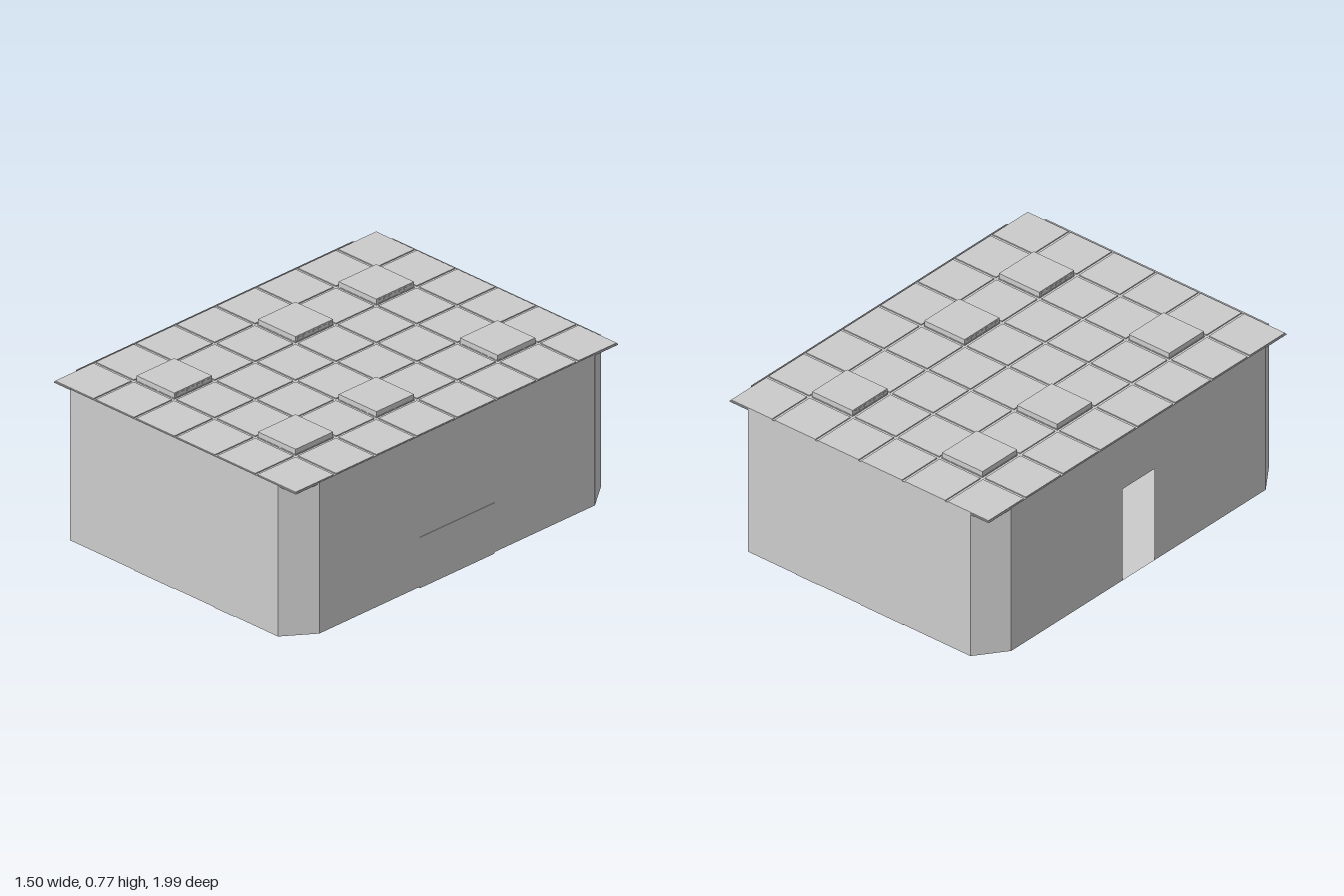
import * as THREE from 'three';

const material = new THREE.MeshStandardMaterial({ color: 0xcccccc, flatShading: true, side: THREE.DoubleSide });

export function createModel() {
  const model = new THREE.Group();
  model.name = 'room';

  const add = (name, geometry, parent = model) => {
    const mesh = new THREE.Mesh(geometry, material);
    mesh.name = name;
    parent.add(mesh);
    return mesh;
  };
  // Box given by its limits on each axis
  const box = (name, x0, x1, y0, y1, z0, z1, parent) => {
    const mesh = add(name, new THREE.BoxGeometry(x1 - x0, y1 - y0, z1 - z0), parent);
    mesh.position.set((x0 + x1) / 2, (y0 + y1) / 2, (z0 + z1) / 2);
    return mesh;
  };

  // Room outline: a rectangle with cut corners, as [x, z]
  const X = 0.748, Z = 0.997, cx = 0.64, cz = 0.85;
  const floorY = 0.006, roofY = 0.75;
  const outline = [
    [cx, Z], [X, cz], [X, -cz], [cx, -Z],
    [-cx, -Z], [-X, -cz], [-X, cz], [-cx, Z],
  ];
  const names = ['cornerWall', 'leftWall', 'cornerWall', 'backWall',
    'cornerWall', 'doorWall', 'cornerWall', 'frontWall'];

  // Thin wall panels, one with a doorway
  outline.forEach(([x0, z0], i) => {
    const [x1, z1] = outline[(i + 1) % outline.length];
    const length = Math.hypot(x1 - x0, z1 - z0);
    const height = roofY - floorY;
    const points = [[0, 0]];
    if (names[i] === 'doorWall') {
      const mid = length / 2, half = 0.108, top = 0.475;
      points.push([mid - half, 0], [mid - half, top], [mid + half, top], [mid + half, 0]);
    }
    points.push([length, 0], [length, height], [0, height]);
    const shape = new THREE.Shape(points.map(p => new THREE.Vector2(...p)));
    const wall = add(names[i], new THREE.ShapeGeometry(shape));
    wall.position.set(x0, floorY, z0);
    wall.rotation.y = Math.atan2(z0 - z1, x1 - x0);
  });

  // Floor with the same cut corners
  const floorShape = new THREE.Shape(outline.map(([x, z]) => new THREE.Vector2(x, z)));
  const floor = add('floor', new THREE.ShapeGeometry(floorShape));
  floor.rotation.x = Math.PI / 2;
  floor.position.y = floorY;

  // Ceiling: a thin grid sheet carrying 6 by 8 tiles
  box('ceilingGrid', -0.745, 0.745, 0.741, 0.745, -0.997, 0.992);
  const tiles = new THREE.Group();
  tiles.name = 'ceilingTiles';
  model.add(tiles);
  const pitchX = 0.249, pitchZ = 0.2493, size = 0.235;
  const tileX = i => (i - 2.5) * pitchX;
  const tileZ = k => (k - 3.5) * pitchZ - 0.002;
  for (let i = 0; i < 6; i++) {
    for (let k = 0; k < 8; k++) {
      const x = tileX(i), z = tileZ(k), h = size / 2;
      box('tile', x - h, x + h, 0.745, roofY, z - h, z + h, tiles);
    }
  }

  // Raised roof boxes with a row of slots on the side facing the middle
  for (const [i, k] of [[1, 1], [1, 3], [1, 6], [4, 1], [4, 4], [4, 6]]) {
    const unit = new THREE.Group();
    unit.name = 'roofBox';
    unit.position.set(tileX(i), roofY, tileZ(k));
    model.add(unit);
    const h = 0.116, side = i < 3 ? 1 : -1;
    box('housing', -h, h, 0, 0.025, -h, h, unit);
    for (let s = -3; s <= 3; s++) {
      const slot = add('slot', new THREE.BoxGeometry(0.004, 0.01, 0.016), unit);
      slot.position.set(side * h, 0.0125, s * 0.032);
    }
  }

  // Bench against the left wall and a low table before it
  box('bench', 0.36, 0.75, 0, 0.25, -0.23, 0.23);
  box('lowTable', 0, 0.355, 0, 0.12, -0.23, 0.23);

  // Matching cabinets along the front and back walls
  for (const s of [-1, 1]) {
    const z0 = Math.min(s * 0.79, s * 0.993), z1 = Math.max(s * 0.79, s * 0.993);
    box('cabinet', -0.25, -0.005, 0, 0.2, z0, z1);
    box('narrowCabinet', 0.245, 0.365, 0, 0.2, z0, z1);
  }
  return model;
}
